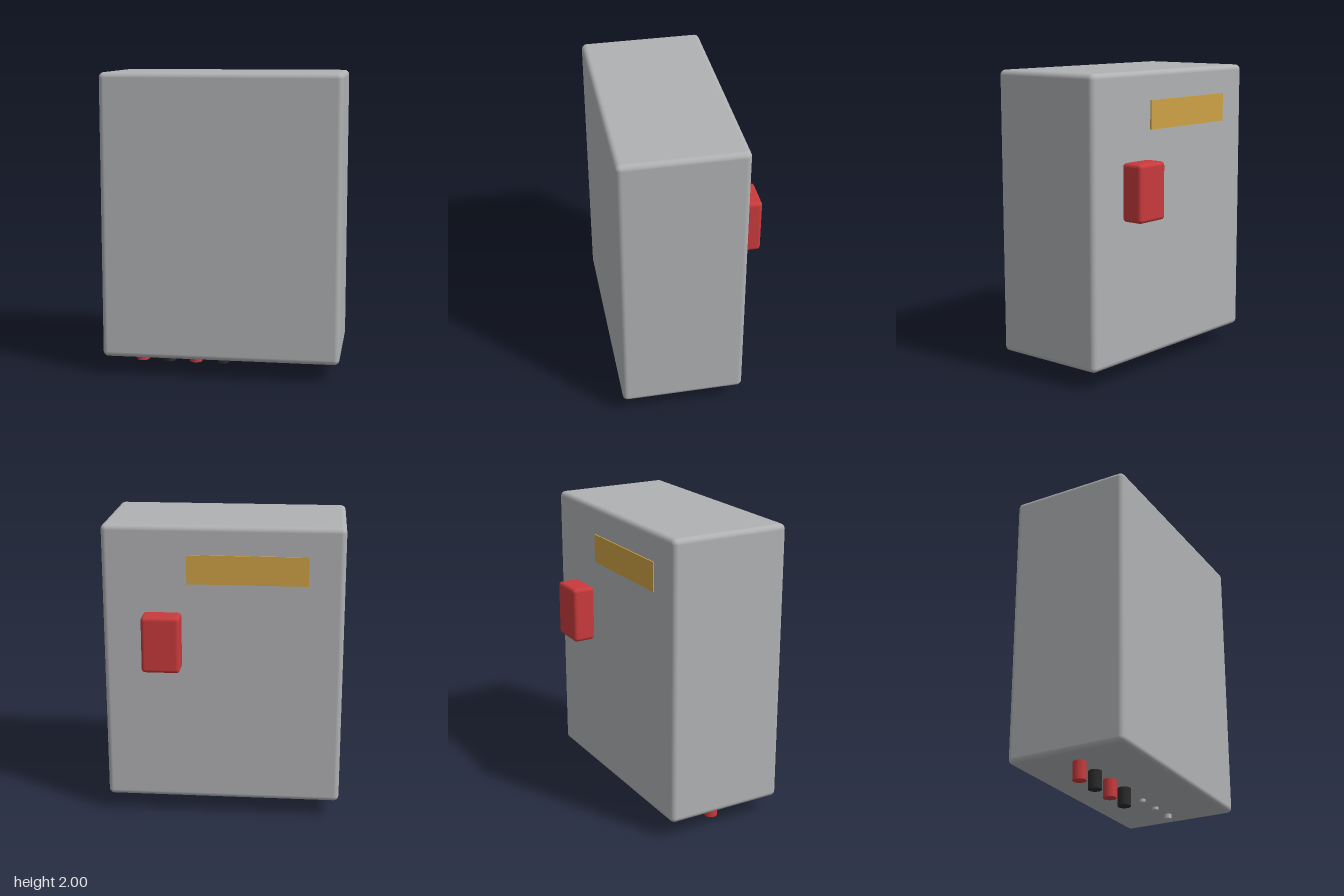
import * as THREE from 'three';
import { RoundedBoxGeometry } from 'three/addons/geometries/RoundedBoxGeometry.js';

const material = (name, color) => {
  const m = new THREE.MeshStandardMaterial({ color });
  m.name = name;
  return m;
};

export function createModel() {
  const grey = material('caseGrey', 0xb0b1b3);
  const red = material('red', 0xc83a3c);
  const black = material('black', 0x2b2b2c);
  const ochre = material('ochre', 0xcda245);
  const silver = material('silver', 0xb8babc);

  const model = new THREE.Group();
  model.name = 'electricalBox';
  const add = (name, geometry, mat, x, y, z) => {
    const mesh = new THREE.Mesh(geometry, mat);
    mesh.name = name;
    mesh.position.set(x, y, z);
    model.add(mesh);
  };

  // Main housing with softened edges
  add('housing', new RoundedBoxGeometry(1.57, 1.88, 0.815, 4, 0.035), grey, 0, 1.06, 0.077);

  // Switch block and label plate on the back
  add('switchBlock', new RoundedBoxGeometry(0.25, 0.375, 0.155, 4, 0.025), red, 0.39, 1.248, -0.408);
  add('labelPlate', new THREE.BoxGeometry(0.785, 0.19, 0.009), ochre, -0.16, 1.717, -0.3345);

  // Cable terminals and small studs under the housing: x, radius, bottom
  const pegZ = 0.08;
  const peg = (name, mat, x, radius, bottom) => {
    const top = 0.13;
    add(name, new THREE.CylinderGeometry(radius, radius, top - bottom, 24), mat, x, (top + bottom) / 2, pegZ);
  };
  [-0.6, -0.412, -0.224, -0.036].forEach((x, i) =>
    peg('terminal' + (i + 1), i % 2 ? black : red, x, 0.043, 0));
  [[0.217, 0.019, 0.1], [0.405, 0.019, 0.1], [0.594, 0.025, 0.09]].forEach(([x, r, b], i) =>
    peg('stud' + (i + 1), silver, x, r, b));

  return model;
}
